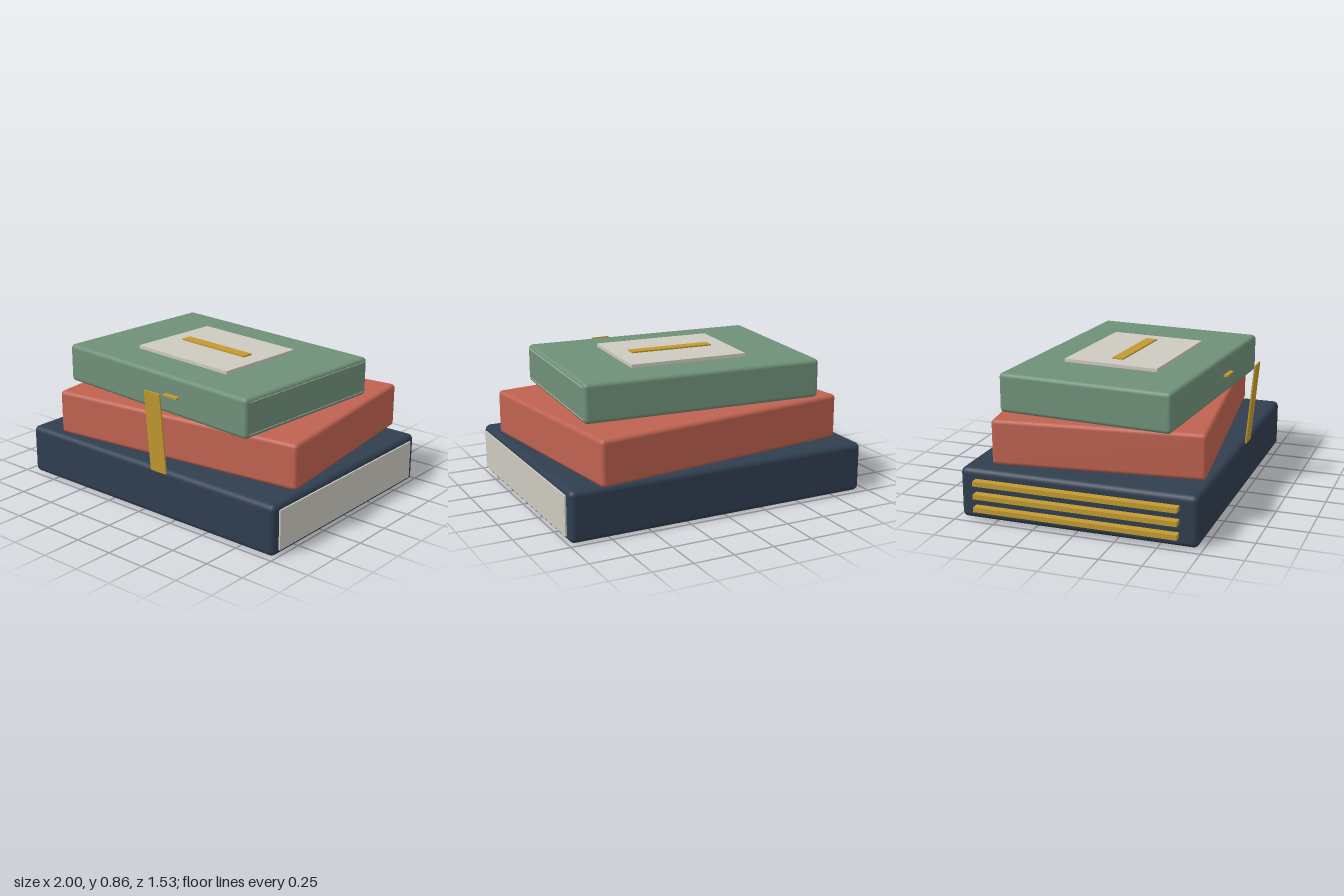
import * as THREE from 'three';
import { RoundedBoxGeometry } from 'three/addons/geometries/RoundedBoxGeometry.js';

const paint = (name, color) => {
  const m = new THREE.MeshStandardMaterial({ color });
  m.name = name;
  return m;
};

export function createModel() {
  const navy = paint('navy cover', 0x2f3e4f);
  const red = paint('brick red cover', 0xbf6250);
  const green = paint('sage green cover', 0x6f9079);
  const gold = paint('gold', 0xc29a30);
  const paper = paint('paper', 0xcdc9c0);

  const model = new THREE.Group();
  model.name = 'bookStack';

  const add = (parent, name, geometry, material, x, y, z) => {
    const mesh = new THREE.Mesh(geometry, material);
    mesh.name = name;
    mesh.position.set(x, y, z);
    parent.add(mesh);
    return mesh;
  };
  const box = (w, h, d) => new THREE.BoxGeometry(w, h, d);

  // A book is a group at its centre, turned about the vertical axis
  const book = (name, material, [w, h, d], [x, y, z], turn, radius) => {
    const group = new THREE.Group();
    group.name = name;
    group.position.set(x, y, z);
    group.rotation.y = turn;
    add(group, name + 'Cover', new RoundedBoxGeometry(w, h, d, 3, radius), material, 0, 0, 0);
    model.add(group);
    return group;
  };

  // Bottom book with a page edge on one end and raised bands on the spine
  const bottom = book('bottomBook', navy, [1.94, 0.31, 1.45], [0.02, 0.16, -0.003], 0, 0.035);
  add(bottom, 'pageEdge', box(0.04, 0.242, 1.34), paper, 0.96, 0, 0.003);
  for (const y of [-0.08, 0, 0.08]) {
    add(bottom, 'spineBand', box(0.07, 0.03, 1.24), gold, -0.985, y, -0.004);
  }

  // Middle book
  book('middleBook', red, [1.69, 0.277, 1.265], [0.05, 0.458, -0.037], 0.122, 0.025);

  // Top book with a label plate, gold bar, bookmark tip and thin page lines
  const top = book('topBook', green, [1.512, 0.24, 1.085], [-0.008, 0.719, 0.022], -0.07, 0.025);
  add(top, 'label', box(0.75, 0.02, 0.6), paper, 0, 0.13, 0);
  add(top, 'labelBar', box(0.53, 0.01, 0.07), gold, 0, 0.144, 0);
  add(top, 'bookmarkTip', box(0.115, 0.012, 0.08), gold, 0.173, 0, 0.528);
  for (const side of [-1, 1]) {
    add(top, 'pageLine', box(0.006, 0.005, 1.03), paper, 0.7535, side * 0.095, 0);
  }

  // Ribbon leaning outward from the front of the bottom book
  const ribbon = add(model, 'ribbon', box(0.12, 0.508, 0.009), gold, 0.14, 0.543, 0.74);
  ribbon.rotation.x = 0.09;

  return model;
}
